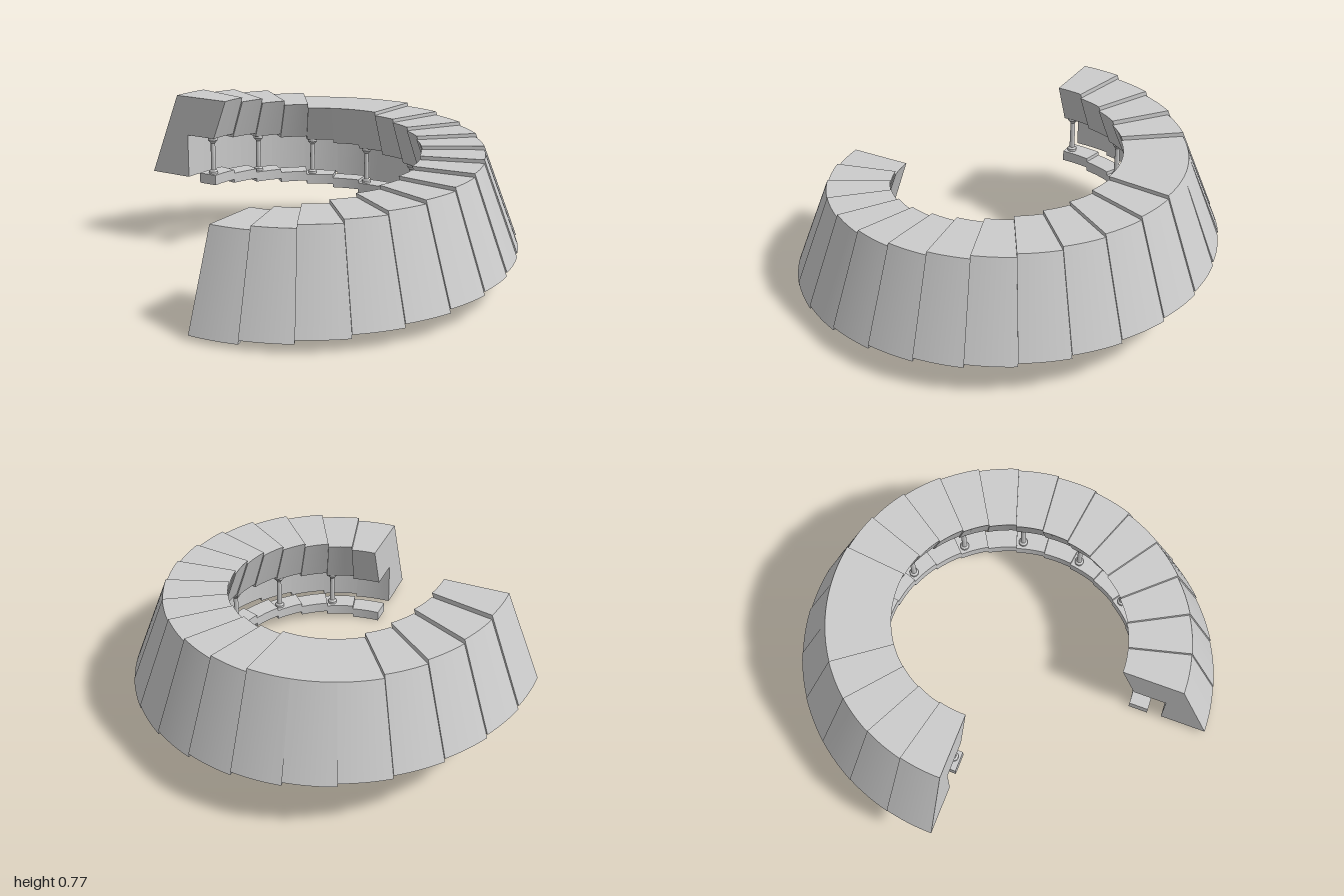
import * as THREE from 'three';
import { toCreasedNormals } from 'three/addons/utils/BufferGeometryUtils.js';

const SECTORS = 20, SLICES = 6;
const T_START = 103.8 * Math.PI / 180, T_STEP = 13.39 * Math.PI / 180;
const material = new THREE.MeshStandardMaterial({ color: 0xcccccc });

// Point at distance d outside the inner ellipse, at parameter t and height y
function place(t, d, y) {
  const a = 0.505, b = 0.54;
  const n = new THREE.Vector2(Math.cos(t) / a, Math.sin(t) / b).normalize();
  return new THREE.Vector3(-0.025 + a * Math.cos(t) + n.x * d, y, b * Math.sin(t) + n.y * d);
}

// Sweep a counter-clockwise (d, y) section along the ellipse, with closed ends
function sweep(section, t0, t1) {
  const pos = [];
  const tri = (...pts) => pts.forEach(p => pos.push(p.x, p.y, p.z));
  const rows = [];
  for (let k = 0; k <= SLICES; k++) {
    const t = t0 + (t1 - t0) * k / SLICES;
    rows.push(section.map(([d, y]) => place(t, d, y)));
  }
  for (let k = 0; k < SLICES; k++) {
    for (let i = 0; i < section.length; i++) {
      const j = (i + 1) % section.length, A = rows[k], B = rows[k + 1];
      tri(A[i], B[i], B[j]);
      tri(A[i], B[j], A[j]);
    }
  }
  const contour = section.map(([d, y]) => new THREE.Vector2(d, y));
  for (const [i, j, k] of THREE.ShapeUtils.triangulateShape(contour, [])) {
    tri(rows[0][i], rows[0][j], rows[0][k]);
    tri(rows[SLICES][i], rows[SLICES][k], rows[SLICES][j]);
  }
  const geo = new THREE.BufferGeometry();
  geo.setAttribute('position', new THREE.Float32BufferAttribute(pos, 3));
  return toCreasedNormals(geo, 0.4);
}

// Roof climbs with each sector, is level along the back, then climbs to the end
function roofHeight(i) {
  if (i < 13) return 0.455 + 0.0173 * i;
  if (i < 16) return 0.68;
  return 0.70 + 0.0217 * (i - 16);
}

// Slim column with a base and a flared capital
function makeColumn(height) {
  const profile = [
    [0, 0], [0.022, 0], [0.022, 0.012], [0.013, 0.02],
    [0.011, height - 0.03], [0.024, height - 0.014], [0.024, height], [0, height],
  ].map(([r, y]) => new THREE.Vector2(r, y));
  return toCreasedNormals(new THREE.LatheGeometry(profile, 16), 0.5);
}

export function createModel() {
  const model = new THREE.Group();
  model.name = 'spiralGallery';
  const add = (name, geo) => {
    const mesh = new THREE.Mesh(geo, material);
    mesh.name = name;
    model.add(mesh);
    return mesh;
  };

  for (let i = 0; i < SECTORS; i++) {
    const t0 = T_START - i * T_STEP, t1 = t0 - T_STEP;
    const base = 0.02 + 0.0176 * i, soffit = base + 0.215, top = roofHeight(i);

    // Sloping outer wall with the overhanging hood
    add('wallSector', sweep([
      [0.46, base], [0.295, top], [0, top],
      [0.075, soffit], [0.235, soffit], [0.235, base],
    ], t0, t1));

    // Curb that carries the columns
    add('curbSector', sweep([
      [0.07, base - 0.02], [0.165, base - 0.02], [0.165, base + 0.03], [0.07, base + 0.03],
    ], t0, t1));

    // One column in every second sector
    if (i % 2 === 1) {
      const column = add('column', makeColumn(soffit - base - 0.03));
      column.position.copy(place(t1 + 0.05, 0.105, base + 0.03));
    }
  }
  return model;
}
